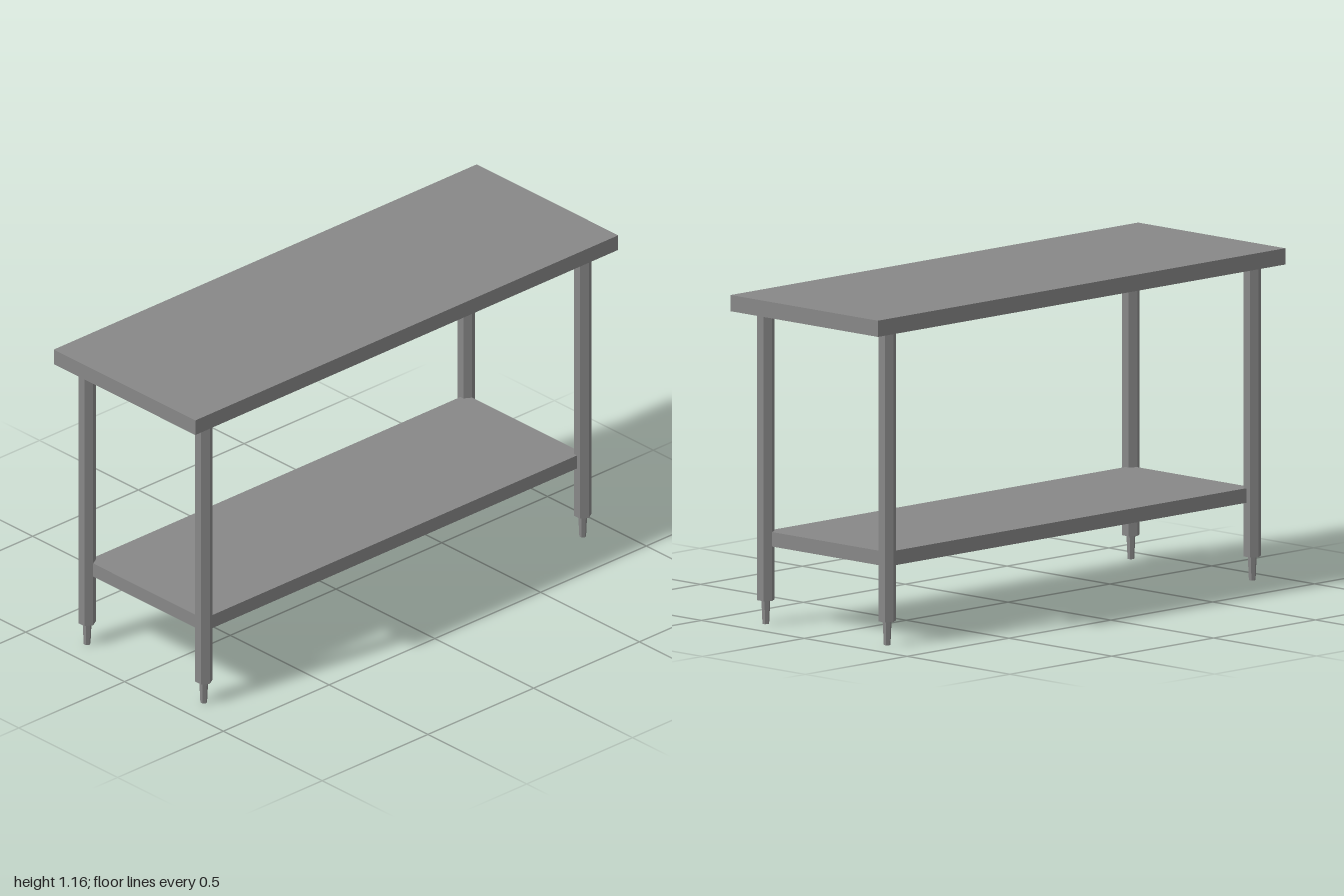
import * as THREE from 'three';

export function createModel() {
  const table = new THREE.Group();
  table.name = 'workTable';
  const steel = new THREE.MeshStandardMaterial({ color: 0x888888, flatShading: true });

  const add = (parent, name, geometry, x, y, z) => {
    const mesh = new THREE.Mesh(geometry, steel);
    mesh.name = name;
    mesh.position.set(x, y, z);
    parent.add(mesh);
  };

  // Leg centre lines, very slightly off centre under the top
  const left = 0.889, right = -0.903, front = 0.297, back = -0.293;
  const topBottom = 1.103, topHeight = 1.16, footHeight = 0.084;

  // Table top
  const thickness = topHeight - topBottom;
  add(table, 'tableTop', new THREE.BoxGeometry(2, thickness, 0.716), 0, topBottom + thickness / 2, 0);

  // Lower shelf, its corners set into the legs
  add(table, 'lowerShelf', new THREE.BoxGeometry(left - right, 0.051, front - back),
    (left + right) / 2, 0.3, (front + back) / 2);

  // Hexagonal legs with tapered feet
  const legLength = topBottom - footHeight;
  const legGeometry = new THREE.CylinderGeometry(0.031, 0.031, legLength, 6);
  const footGeometry = new THREE.CylinderGeometry(0.016, 0.012, footHeight, 6);
  for (const [xName, x] of [['Left', left], ['Right', right]]) {
    for (const [zName, z] of [['front', front], ['back', back]]) {
      const leg = new THREE.Group();
      leg.name = `${zName}${xName}Leg`;
      leg.position.set(x, 0, z);
      add(leg, 'post', legGeometry, 0, footHeight + legLength / 2, 0);
      add(leg, 'foot', footGeometry, 0, footHeight / 2, 0);
      table.add(leg);
    }
  }
  return table;
}
